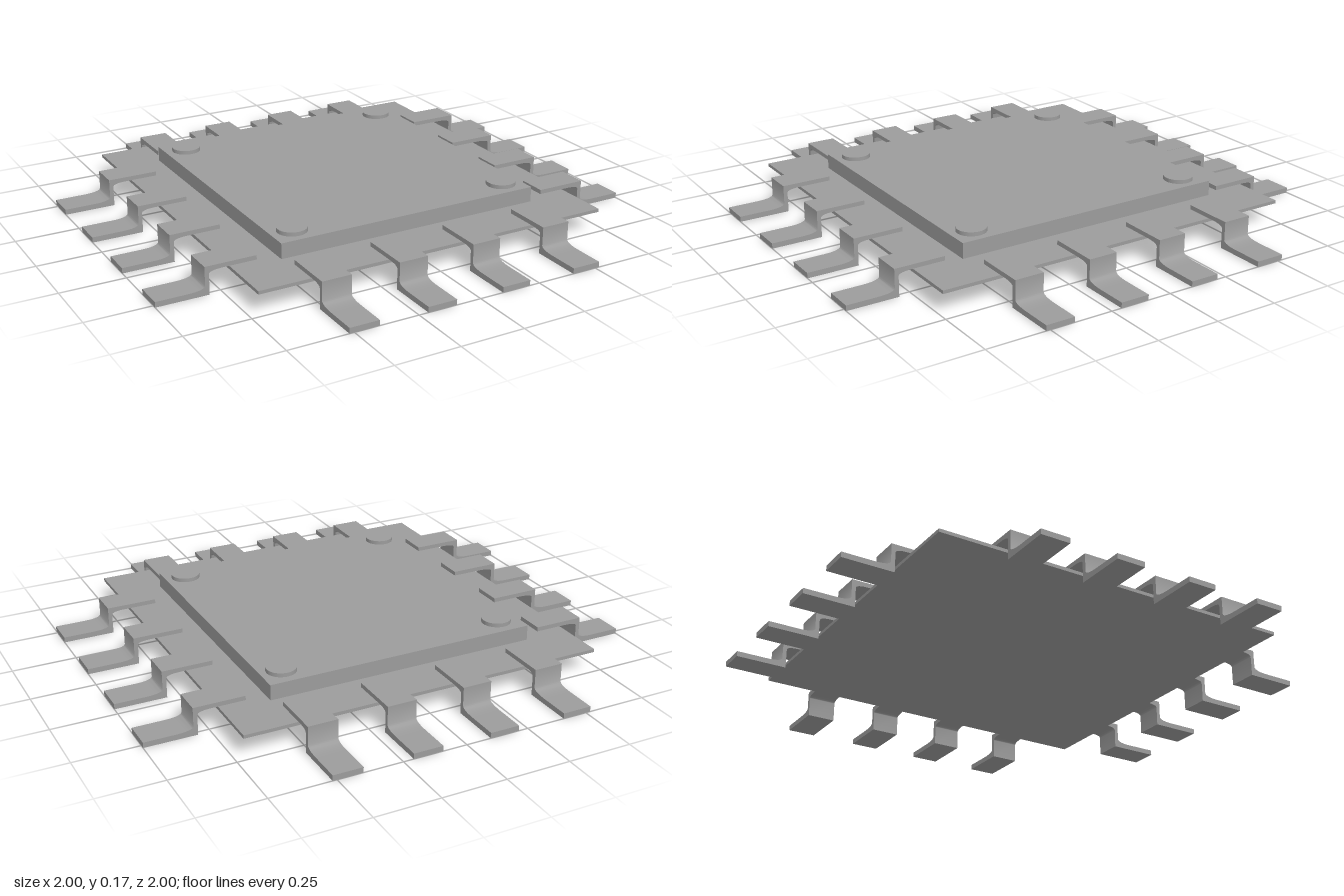
import * as THREE from 'three';
import { toCreasedNormals } from 'three/addons/utils/BufferGeometryUtils.js';

export function createModel() {
  const group = new THREE.Group();
  const material = new THREE.MeshStandardMaterial({ color: 0x9c9c9c });

  const add = (name, geometry, x, y, z, parent = group) => {
    const mesh = new THREE.Mesh(geometry, material);
    mesh.name = name;
    mesh.position.set(x, y, z);
    parent.add(mesh);
    return mesh;
  };

  // Thin base plate and the raised package body
  add('basePlate', new THREE.BoxGeometry(1.44, 0.013, 1.482), 0, 0.0845, 0);
  add('packageBody', new THREE.BoxGeometry(1.076, 0.062, 1.114), 0, 0.12, -0.002);

  // Round studs on the corners of the body
  const stud = toCreasedNormals(new THREE.CylinderGeometry(0.057, 0.057, 0.017, 48), 0.6);
  for (const x of [-0.452, 0.455])
    for (const z of [-0.47, 0.47]) add('cornerStud', stud, x, 0.158, z);

  // Gull-wing lead: flat shoulder, upright strip and foot, with filleted inner bends
  const width = 0.115;
  const profile = new THREE.Shape();
  profile.moveTo(0.615, 0.092);
  profile.lineTo(0.74, 0.092);
  profile.quadraticCurveTo(0.798, 0.092, 0.798, 0.078);
  profile.lineTo(0.798, 0);
  profile.lineTo(1, 0);
  profile.lineTo(1, 0.021);
  profile.lineTo(0.88, 0.021);
  profile.quadraticCurveTo(0.82, 0.021, 0.814, 0.036);
  profile.lineTo(0.814, 0.109);
  profile.lineTo(0.615, 0.109);
  profile.closePath();
  const lead = toCreasedNormals(
    new THREE.ExtrudeGeometry(profile, { depth: width, bevelEnabled: false, curveSegments: 8 })
      .translate(0, 0, -width / 2),
    0.6
  );

  // Four leads on each of the four sides
  ['left', 'back', 'right', 'front'].forEach((side, i) => {
    const row = new THREE.Group();
    row.name = `${side}Leads`;
    row.rotation.y = (i * Math.PI) / 2;
    // Offsets run the same way along opposite sides
    const flip = side === 'left' || side === 'back' ? 1 : -1;
    for (const offset of [-0.461, -0.155, 0.152, 0.459])
      add('lead', lead, 0, 0, offset * flip, row);
    group.add(row);
  });

  return group;
}
